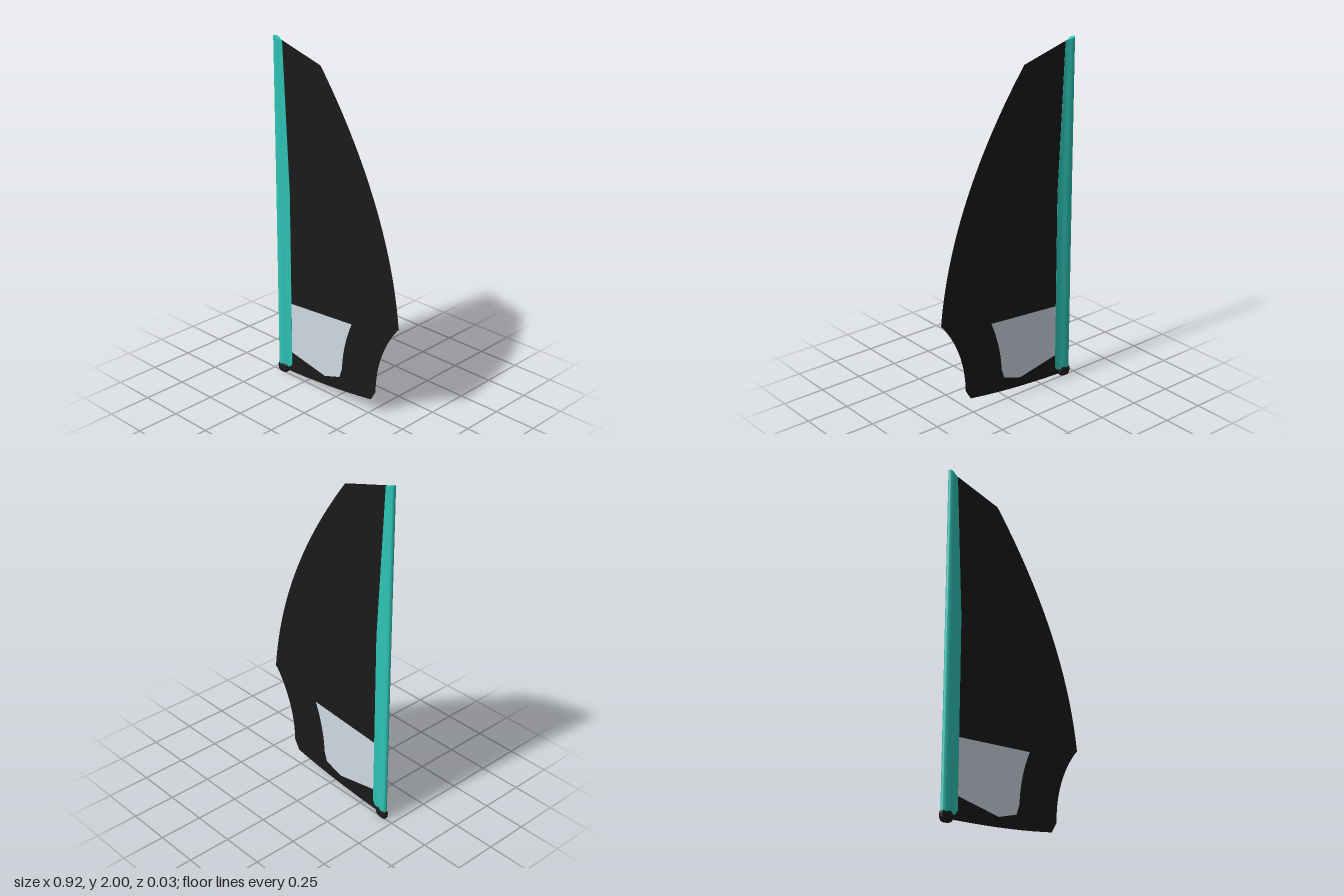
import * as THREE from 'three';
import { toCreasedNormals } from 'three/addons/utils/BufferGeometryUtils.js';
import { RoundedBoxGeometry } from 'three/addons/geometries/RoundedBoxGeometry.js';

const material = (name, color, side = THREE.FrontSide) => {
  const m = new THREE.MeshStandardMaterial({ color, side });
  m.name = name;
  return m;
};

// Closed loft through rings of equal length, capped at both ends
function loft(rings) {
  const n = rings[0].length;
  const index = [];
  for (let r = 0; r < rings.length - 1; r++) {
    for (let i = 0; i < n; i++) {
      const a = r * n + i, b = r * n + (i + 1) % n;
      index.push(a, b, a + n, b, b + n, a + n);
    }
  }
  const top = (rings.length - 1) * n;
  for (let i = 1; i < n - 1; i++) {
    index.push(0, i + 1, i, top, top + i, top + i + 1);
  }
  const g = new THREE.BufferGeometry();
  g.setAttribute('position', new THREE.Float32BufferAttribute(rings.flat(2), 3));
  g.setIndex(index);
  return toCreasedNormals(g, 0.7);
}

// Teardrop section: round nose at -x, thin tail towards the cloth
function sleeveRing(y, tailX, tailY) {
  const nose = -0.456, chord = tailX - nose;
  const half = [];
  for (let i = 0; i <= 8; i++) {
    const a = (i / 8) * Math.PI / 2;
    half.push([0.27 * (1 - Math.cos(a)), 0.015 * Math.sin(a)]);
  }
  half.push([0.42, 0.0135], [0.56, 0.009], [0.68, 0.005], [1, 0.0015]);
  const back = half.slice(1).reverse().map(([u, z]) => [u, -z]);
  return [...half, ...back].map(([u, z]) =>
    [nose + u * chord, THREE.MathUtils.lerp(y, tailY, u), z]);
}

export function createModel() {
  const group = new THREE.Group();
  group.name = 'sail';
  const black = material('black cloth', 0x1a1a1a, THREE.DoubleSide);
  const teal = material('teal sleeve', 0x2ec4b6);
  const clear = material('pale window', 0xcfdae4, THREE.DoubleSide);
  const add = (name, geometry, mat) => {
    const mesh = new THREE.Mesh(geometry, mat);
    mesh.name = name;
    group.add(mesh);
    return mesh;
  };

  // Window outline, shared by the hole in the cloth and the pane
  const pane = new THREE.Shape();
  pane.moveTo(-0.358, 0.461);
  pane.lineTo(0.119, 0.497);
  pane.quadraticCurveTo(0.053, 0.345, 0.047, 0.196);
  pane.lineTo(0.027, 0.136);
  pane.lineTo(-0.09, 0.099);
  pane.lineTo(-0.358, 0.152);
  pane.closePath();

  // Cloth with curved leech, notched lower edge and window opening
  const cloth = new THREE.Shape();
  cloth.moveTo(-0.42, 0.022);
  cloth.quadraticCurveTo(-0.04, 0.038, 0.267, 0.091);
  cloth.lineTo(0.301, 0.148);
  cloth.quadraticCurveTo(0.303, 0.395, 0.459, 0.587);
  cloth.quadraticCurveTo(0.385, 1.25, -0.11, 1.9);
  cloth.lineTo(-0.4, 1.984);
  cloth.lineTo(-0.42, 1.984);
  cloth.closePath();
  cloth.holes.push(pane);
  add('cloth', new THREE.ShapeGeometry(cloth, 28), black);
  add('window', new THREE.ShapeGeometry(pane, 16), clear);

  // Mast sleeve, tapering towards the head
  add('mastSleeve', loft([
    sleeveRing(0.045, -0.37, 0.05),
    sleeveRing(0.07, -0.352, 0.075),
    sleeveRing(1.13, -0.352, 1.13),
    sleeveRing(2, -0.394, 1.98),
  ]), teal);

  // Mast foot: a flattened, well rounded block, slightly tilted
  const foot = add('mastFoot', new RoundedBoxGeometry(0.076, 0.064, 0.068, 5, 0.026), black);
  foot.scale.z = 0.5;
  foot.position.set(-0.423, 0.0335, 0);
  foot.rotation.z = 0.1;

  // Eyelet at the outer corner
  const eyelet = add('cornerEyelet', new THREE.CylinderGeometry(0.009, 0.009, 0.003, 16), black);
  eyelet.rotation.x = Math.PI / 2;
  eyelet.position.set(0.45, 0.587, 0);

  return group;
}
